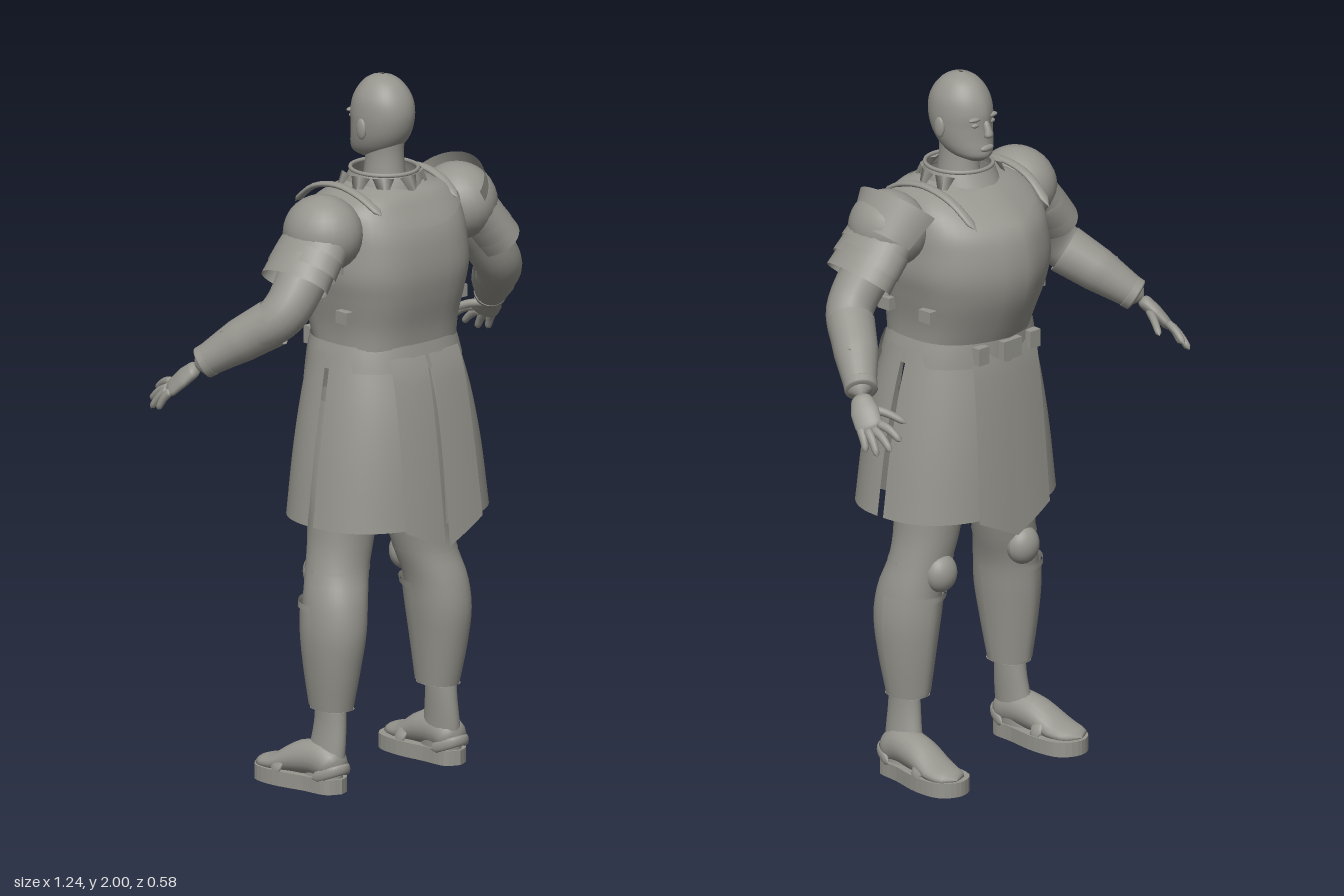
import * as THREE from 'three';

const V = (x, y, z) => new THREE.Vector3(x, y, z);
const rad = THREE.MathUtils.degToRad;
const lerp = THREE.MathUtils.lerp;

// Surface grid from f(u, v); wrap joins the u ends
function grid(nu, nv, f, wrap = false) {
  const pos = [], idx = [], w = wrap ? nu : nu + 1;
  for (let j = 0; j <= nv; j++) for (let i = 0; i < w; i++) pos.push(...f(i / nu, j / nv).toArray());
  for (let j = 0; j < nv; j++) for (let i = 0; i < nu; i++) {
    const a = j * w + i, b = j * w + (i + 1) % w;
    idx.push(a, b, b + w, a, b + w, a + w);
  }
  const g = new THREE.BufferGeometry();
  g.setAttribute('position', new THREE.Float32BufferAttribute(pos, 3));
  g.setIndex(idx);
  g.computeVertexNormals();
  return g;
}

// Smooth lookup in cross-sections [y, centreX, halfWidth, zBack, zFront], listed top down
function sample(rows, y) {
  const n = rows.length;
  let i = 0;
  while (i < n - 2 && y < rows[i + 1][0]) i++;
  const A = rows[i], B = rows[i + 1], h = B[0] - A[0];
  const t = THREE.MathUtils.clamp((y - A[0]) / h, 0, 1);
  const slope = (j, k) => {
    const p = rows[Math.max(j - 1, 0)], q = rows[Math.min(j + 1, n - 1)];
    return (q[k] - p[k]) / (q[0] - p[0]) * h;
  };
  return [1, 2, 3, 4].map(k => A[k] * (1 + 2 * t) * (1 - t) ** 2 + B[k] * t * t * (3 - 2 * t)
    + slope(i, k) * t * (1 - t) ** 2 - slope(i + 1, k) * t * t * (1 - t));
}
function skin(rows, y, a, off = 1, ridge = 0, e = 2.4) {
  const [cx, hw, zb, zf] = sample(rows, y), c = Math.cos(a), s = Math.sin(a);
  const sc = Math.abs(c) ** (2 / e), ss = Math.abs(s) ** (2 / e);
  const k = s < 0 ? ss * (1 - ridge) + ridge * (1 - sc) : ss;
  return V(cx + Math.sign(c) * hw * sc * off, y, (zb + zf) / 2 + Math.sign(s) * (zb - zf) / 2 * k * off);
}
const loft = (rows, ridge = 0, nv = 28, e = 2.4) => grid(40, nv, (u, v) =>
  skin(rows, lerp(rows[0][0], rows.at(-1)[0], v), u * Math.PI * 2, 1, ridge, e), true);
const disk = (rows, y) => grid(40, 2, (u, v) => skin(rows, y, u * Math.PI * 2, 1 - v), true);
// Plate lying on a lofted body between two angles
const patch = (rows, a0, a1, top, bottom, off, ridge = 0, e = 2.4) => grid(24, 14, (u, v) => {
  const a = rad(lerp(a0, a1, u));
  return skin(rows, lerp(top, typeof bottom === 'function' ? bottom(a) : bottom, v), a, off, ridge, e);
});

// Tapered limb along a curve; radii [across ref, other way]
function limb(points, radii, round = 0.15, ref = V(0, 0, 1), nv = 16, nu = 20) {
  const curve = new THREE.CatmullRomCurve3(points.map(p => V(...p)));
  const n = radii.length - 1;
  return grid(nu, nv, (u, t) => {
    const i = Math.min(Math.floor(t * n), n - 1), f = t * n - i;
    const ends = round ? Math.sqrt(1 - (1 - Math.min(1, Math.min(t, 1 - t) / round)) ** 2) : 1;
    const T = curve.getTangent(t), w = V(0, 0, 0).crossVectors(T, ref).normalize();
    const s = V(0, 0, 0).crossVectors(w, T), a = u * Math.PI * 2;
    return curve.getPoint(t).addScaledVector(s, lerp(radii[i][0], radii[i + 1][0], f) * ends * Math.cos(a))
      .addScaledVector(w, lerp(radii[i][1], radii[i + 1][1], f) * ends * Math.sin(a));
  }, true);
}
const ball = (x, y, z, rx, ry, rz) => new THREE.SphereGeometry(1, 24, 16).scale(rx, ry, rz).translate(x, y, z);
const box = (x, y, z, w, h, d) => new THREE.BoxGeometry(w, h, d).translate(x, y, z);

export function createModel() {
  const model = new THREE.Group();
  const grey = new THREE.MeshStandardMaterial({ color: 0x96958e, side: THREE.DoubleSide });
  grey.name = 'warm grey';
  const add = (name, geo) => {
    const m = new THREE.Mesh(geo, grey);
    m.name = name;
    model.add(m);
  };
  const pair = (name, geo) => {
    add(name + 'Left', geo);
    const g = geo.clone().scale(-1, 1, 1), a = g.index.array;
    for (let i = 0; i < a.length; i += 3) [a[i], a[i + 1]] = [a[i + 1], a[i]];
    g.computeVertexNormals();
    add(name + 'Right', g);
  };

  // Head, facing -z
  add('head', loft([[2, 0, .004, .03, .015], [1.993, 0, .03, .058, -.012], [1.975, 0, .053, .085, -.04],
    [1.94, 0, .074, .11, -.065], [1.9, 0, .081, .12, -.077], [1.86, 0, .08, .115, -.077], [1.825, 0, .075, .1, -.079],
    [1.795, 0, .065, .075, -.083], [1.775, 0, .05, .045, -.081], [1.76, 0, .022, .0, -.06]], .12, 36, 2.1));
  add('neck', loft([[1.84, 0, .055, .095, -.03], [1.78, 0, .05, .088, -.024], [1.66, 0, .062, .1, -.04]], 0, 8, 2));
  add('nose', limb([[0, 1.882, -.07], [0, 1.855, -.082], [0, 1.832, -.087]], [[.008, .009], [.011, .011], [.016, .014]], .25, V(1, 0, 0)));
  add('lips', ball(0, 1.802, -.079, .024, .01, .01));
  pair('ear', ball(.081, 1.857, .025, .009, .03, .018));
  pair('eye', ball(.03, 1.871, -.064, .014, .007, .008));
  pair('brow', ball(.03, 1.888, -.063, .024, .007, .011));

  // Cuirass with a central ridge in front
  const body = [[1.705, 0, .1, .125, -.06], [1.685, 0, .16, .155, -.1], [1.65, 0, .2, .18, -.15], [1.6, 0, .215, .208, -.205],
    [1.55, 0, .22, .222, -.228], [1.47, 0, .225, .229, -.238], [1.4, 0, .212, .22, -.225], [1.31, 0, .195, .2, -.185], [1.22, 0, .19, .19, -.14]];
  add('cuirass', loft(body, .3, 36, 3));
  const dip = a => 1.6 + .06 * Math.abs(Math.cos(a)) ** 1.3;
  add('backYoke', patch(body, 25, 155, 1.695, dip, 1.03, .3, 3));
  add('chestYoke', patch(body, 205, 335, 1.695, a => dip(a) + .012 * Math.abs(Math.sin(a * 6)), 1.03, .3, 3));
  pair('shoulderStrap', limb([[.14, 1.62, -.18], [.15, 1.685, -.09], [.152, 1.706, .01], [.15, 1.69, .1], [.14, 1.65, .175]],
    [[.014, .008], [.014, .008], [.014, .008]], .05, V(1, 0, 0)));
  for (const [y, z] of [[1.36, .1], [1.36, -.06], [1.5, .08]]) pair('sideBuckle', box(.212, y, z, .025, .035, .045));

  // Collar with pointed leaves round the back
  add('collar', loft([[1.735, 0, .092, .125, -.065], [1.715, 0, .1, .135, -.075], [1.67, 0, .112, .15, -.1]], 0, 6, 2));
  add('collarRim', new THREE.TorusGeometry(1, .06, 8, 40).rotateX(Math.PI / 2).scale(.092, .1, .096).translate(0, 1.735, .03));
  for (const deg of [-20, 15, 50, 90, 130, 165, 200]) {
    add('collarLeaf', new THREE.ConeGeometry(.03, .075, 4).scale(1, 1, .25).rotateX(Math.PI - .5)
      .translate(0, 1.695, .125).rotateY(rad(90 - deg)).translate(0, 0, .02));
  }

  // Belt
  const belt = [[1.27, 0, .196, .198, -.165], [1.235, 0, .206, .205, -.165], [1.2, 0, .213, .212, -.165]];
  add('belt', loft(belt, .15, 4, 2.6));
  add('beltBuckle', box(0, 1.24, -.17, .07, .055, .02));
  pair('beltPouch', box(.1, 1.24, -.155, .04, .05, .025));

  // Skirt panels, slit at the sides, with centre flaps
  const skirt = [[1.24, 0, .207, .195, -.14], [1.1, 0, .238, .235, -.162], [.95, 0, .265, .258, -.176], [.765, 0, .29, .272, -.185]];
  pair('skirtBackPanel', patch(skirt, 2, 89, 1.24, .765, 1));
  pair('skirtFrontPanel', patch(skirt, -89.5, -1, 1.24, .765, 1));
  const flap = (x0, x1, z0, z1, bow) => grid(16, 14, (u, v) => {
    const x = lerp(x0, x1, u), k = Math.abs(x) / .135;
    return V(x * lerp(.95, 1.05, v), lerp(1.24, lerp(.7, .765, k), v), lerp(z0, z1, v ** .65) - bow * k * k);
  });
  pair('skirtBackFlap', flap(.135, .008, .203, .29, .014));
  add('skirtFrontFlap', flap(-.13, .13, -.155, -.2, -.014));

  // Legs, knee guards and greaves
  const leg = [[1.1, .105, .1, .12, -.1], [.85, .13, .1, .11, -.09], [.7, .145, .09, .102, -.08], [.62, .163, .086, .105, -.07],
    [.54, .185, .083, .128, -.06], [.45, .195, .08, .137, -.055], [.35, .198, .069, .123, -.045], [.23, .197, .053, .097, -.03]];
  pair('leg', loft(leg, 0, 32, 2.1));
  pair('legHem', disk(leg, .23));
  pair('greave', patch(leg, 178, 362, .53, .24, 1.13, .15, 2.1));
  pair('greaveRim', patch(leg, 178, 362, .535, .518, 1.2, .15, 2.1));
  pair('kneeGuard', ball(.16, .595, -.058, .05, .055, .043));
  pair('kneeStrap', patch(leg, 0, 360, .628, .618, 1.02, 0, 2.1));

  // Ankles, feet and sandals
  pair('ankle', loft([[.26, .205, .036, .085, -.012], [.19, .206, .035, .09, -.018], [.12, .212, .037, .093, -.03], [.04, .22, .042, .09, -.05]], 0, 12, 2));
  pair('foot', limb([[.22, .055, .09], [.221, .085, .03], [.228, .078, -.05], [.237, .052, -.13], [.243, .045, -.205]],
    [[.045, .04], [.05, .055], [.054, .048], [.058, .028], [.045, .018]], .12, V(1, 0, 0)));
  const sole = new THREE.Shape();
  sole.setFromPoints(new THREE.SplineCurve([[.22, -.1], [.18, -.075], [.172, 0], [.16, .1], [.175, .185], [.235, .214],
    [.29, .18], [.298, .1], [.275, 0], [.262, -.075], [.22, -.1]].map(p => new THREE.Vector2(...p))).getPoints(40));
  const soleGeo = new THREE.ExtrudeGeometry(sole, { depth: .042, bevelEnabled: false }).rotateX(-Math.PI / 2);
  soleGeo.setIndex([...Array(soleGeo.attributes.position.count).keys()]);
  pair('sandalSole', soleGeo);
  pair('sandalStrap', limb([[.165, .035, -.1], [.19, .075, -.09], [.235, .09, -.085], [.275, .072, -.09], [.295, .035, -.1]],
    [[.02, .007], [.02, .007]], .05));
  pair('heelStrap', limb([[.17, .04, .03], [.19, .065, .09], [.22, .07, .102], [.25, .065, .09], [.272, .04, .03]],
    [[.015, .007], [.015, .007]], .05, V(0, 1, 0)));

  // Arms and bracers
  pair('arm', limb([[.2, 1.62, .05], [.31, 1.51, .058], [.4, 1.395, .055], [.47, 1.315, -.035], [.55, 1.23, -.14]],
    [[.07, .07], [.075, .07], [.066, .066], [.055, .055], [.032, .028]], .04, V(0, 0, 1), 28));
  pair('bracer', limb([[.415, 1.37, .035], [.47, 1.313, -.04], [.533, 1.247, -.12]], [[.066, .07], [.062, .062], [.044, .044]], 0));
  pair('bracerCuff', limb([[.522, 1.257, -.108], [.538, 1.241, -.128]], [[.048, .048], [.046, .046]], .2));
  pair('bracerBuckle', box(.51, 1.33, -.05, .022, .03, .035));

  // Hands
  const across = V(.033, -.015, .04).normalize();
  pair('palm', limb([[.545, 1.235, -.13], [.565, 1.2, -.168], [.585, 1.155, -.212]], [[.026, .02], [.04, .019], [.038, .014]], .18, across));
  const fingers = [[[.565, 1.18, -.215], [.55, 1.14, -.295]], [[.578, 1.167, -.21], [.58, 1.115, -.287]],
    [[.59, 1.165, -.2], [.605, 1.1, -.258]], [[.597, 1.165, -.182], [.613, 1.105, -.222]], [[.552, 1.205, -.155], [.492, 1.17, -.258]]];
  for (const [a, b] of fingers) {
    const mid = a.map((p, k) => (p + b[k]) / 2 + (k === 1 ? .008 : 0));
    pair('finger', limb([a, mid, b], [[.013, .012], [.012, .011], [.009, .009]], .15, across, 10, 10));
  }

  // Layered shoulder guards
  pair('shoulderCap', ball(.25, 1.598, .055, .105, .108, .118));
  const lames = [[.255, 1.6, .305, 1.545, .114], [.29, 1.56, .335, 1.508, .117], [.318, 1.528, .362, 1.475, .113]];
  for (const [x0, y0, x1, y1, r] of lames) {
    pair('shoulderLame', limb([[x0, y0, .055], [x1, y1, .06]], [[r - .01, .078], [r, .074]], 0, V(0, 0, 1), 4, 32));
  }
  // Raised guard on the left shoulder only
  add('raisedGuard', grid(24, 6, (u, v) => {
    const a = rad(lerp(-80, 80, u)), r = lerp(.125, .098, v);
    return V(lerp(.2, .275, v) + .75 * r * Math.cos(a), lerp(1.64, 1.56, v) + .66 * r * Math.cos(a), .045 + 1.12 * r * Math.sin(a));
  }));
  return model;
}
